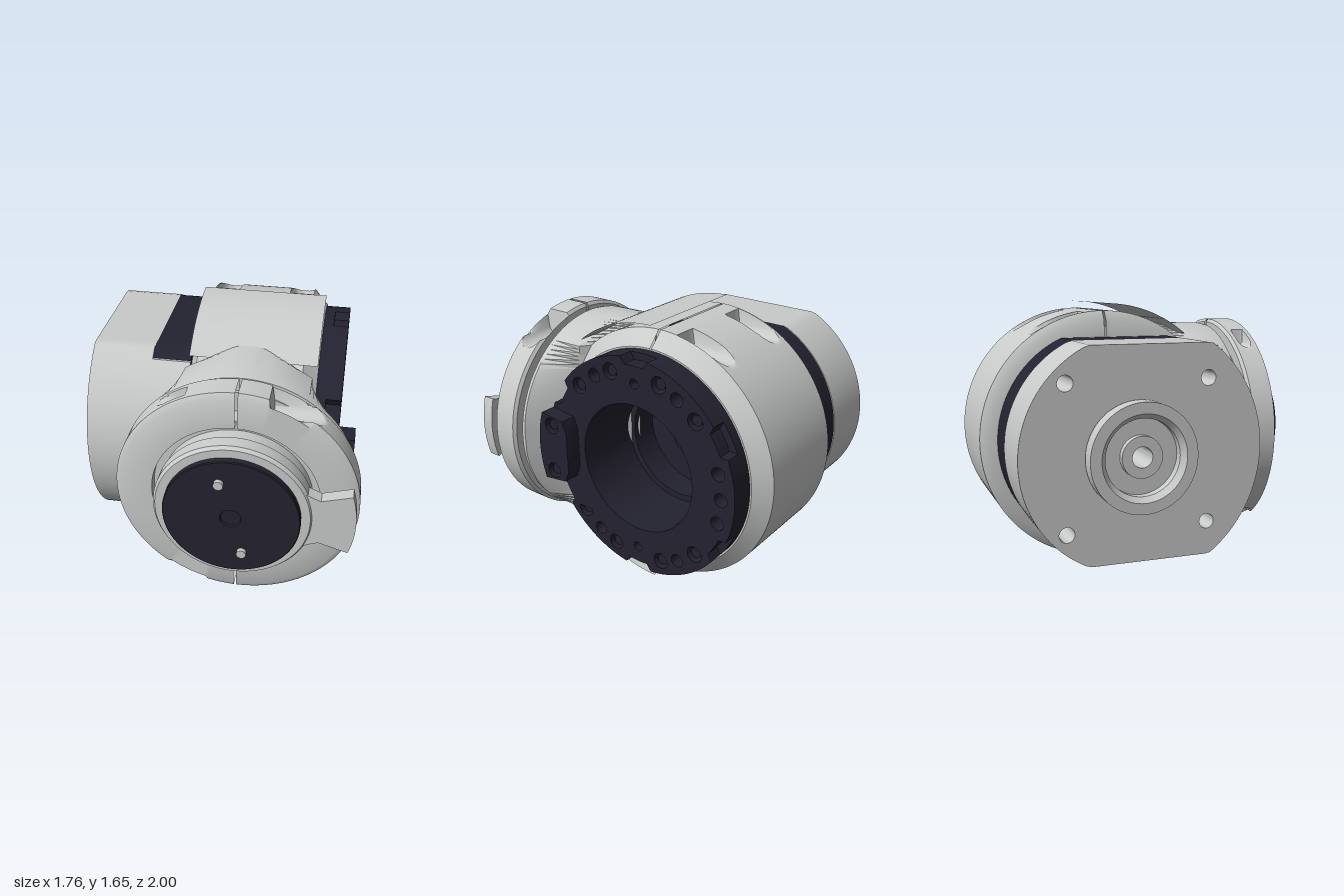
import * as THREE from 'three';
import { toCreasedNormals } from 'three/addons/utils/BufferGeometryUtils.js';

export function createModel() {
  const model = new THREE.Group();
  const light = new THREE.MeshStandardMaterial({ color: 0xc9caca, side: THREE.DoubleSide });
  light.name = 'light grey metal';
  const dark = new THREE.MeshStandardMaterial({ color: 0x232230, side: THREE.DoubleSide });
  dark.name = 'dark navy metal';

  const CY = 0.83, CZ = -0.22, CX = 0.175; // centres of the side axis (along x) and the front axis (along z)
  const V = (a, b) => new THREE.Vector2(a, b);
  const rad = THREE.MathUtils.degToRad;

  function add(name, geo, mat, x, y, z) {
    const mesh = new THREE.Mesh(toCreasedNormals(geo, 0.6), mat);
    mesh.name = name;
    mesh.position.set(x, y, z);
    model.add(mesh);
  }
  // Turned part about the side axis: points are [radius, x]
  function turnX(name, pts, mat, start = 0, length = Math.PI * 2, segs = 80, rule) {
    const g = new THREE.LatheGeometry(pts.map(p => V(...p)), segs, start, length).rotateZ(-Math.PI / 2);
    if (rule) reshape(g, rule);
    add(name, g, mat, 0, CY, CZ);
  }
  // Turned part about the front axis: points are [radius, z]
  function turnZ(name, pts, mat, start = 0, length = Math.PI * 2, segs = 80, rule) {
    const g = new THREE.LatheGeometry(pts.map(p => V(...p)), segs, start, length).rotateX(Math.PI / 2);
    if (rule) reshape(g, rule);
    add(name, g, mat, CX, CY, 0);
  }
  function reshape(g, rule) {
    const p = g.attributes.position;
    for (let i = 0; i < p.count; i++) p.setY(i, rule(p.getX(i), p.getY(i), p.getZ(i)));
  }
  // Plate across the side axis: outline and holes in [dz, dy], from x0 to x1
  function plateX(name, pts, holes, x0, x1, mat) {
    const s = new THREE.Shape(pts.map(([dz, dy]) => V(-dz, dy)));
    for (const [dz, dy, r] of holes) s.holes.push(new THREE.Path().absarc(-dz, dy, r, 0, Math.PI * 2));
    const g = new THREE.ExtrudeGeometry(s, { depth: x1 - x0, bevelEnabled: false, curveSegments: 20 });
    add(name, g.rotateY(Math.PI / 2), mat, x0, CY, CZ);
  }
  function arc(r, a0, a1, n) {
    return Array.from({ length: n + 1 }, (_, i) => {
      const a = rad(a0 + (a1 - a0) * i / n);
      return [r * Math.cos(a), r * Math.sin(a)];
    });
  }
  // Round outline with flats at the top and bottom
  function flatted(front, back, flat) {
    return arc(1, 0, 357, 119).map(([c, s]) => {
      const r = c > 0 ? front : back;
      return [r * c, THREE.MathUtils.clamp(r * s, -flat, flat)];
    });
  }
  const span = (r, a, b, n) => Array.from({ length: n + 1 }, (_, i) => [r, a + (b - a) * i / n]);

  // Main housing in two halves, with screw scoops in the rear one
  const housing = [[0.56, -0.18], [0.72, -0.18], ...span(0.78, -0.14, 0.485, 84), [0.73, 0.53], [0.69, 0.57], [0.56, 0.57]];
  const scoop = (x, y, z) => {
    for (const x0 of [0.41, -0.06]) {
      const d = x - x0;
      if (Math.abs(d) < 0.07 && z > -0.5 && z < -0.13) {
        return Math.sign(y) * Math.min(Math.abs(y), 0.71 - Math.sqrt(0.0049 - d * d));
      }
    }
    return y;
  };
  turnX('rearHousing', housing, light, Math.PI / 2 + 0.008, Math.PI - 0.016, 130, scoop);
  turnX('frontHousing', [housing[0], housing[1], [0.78, -0.14], [0.78, 0.485], ...housing.slice(-3)], light,
    -Math.PI / 2 + 0.008, Math.PI - 0.016, 60);

  // Thin saddle sheets over and under the housing
  for (const start of [-Math.PI / 2, Math.PI / 2 - 0.7]) {
    turnX('saddleSheet', [[0.825, -0.18], [0.825, 0.57]], light, start, 0.7, 24);
  }

  // Hollow core inside the housing
  turnX('core', [[0.06, -0.18], [0.57, -0.18], [0.57, 0.58], [0.4, 0.58], [0.4, 0.3], [0.36, 0.3], [0.36, 0.12],
    [0.06, 0.12], [0.06, -0.18]], dark);
  turnX('innerHub', [[0.06, 0.1], [0.06, 0.24], [0.09, 0.24], [0.09, 0.1]], dark);

  // Dark joint plate and the light motor cover on the -x side
  plateX('jointPlate', flatted(0.75, 0.68, 0.62), [[0, 0, 0.06]], -0.41, -0.18, dark);
  plateX('coverLip', [...arc(0.76, -48.6, 48.6, 30), [0.43, 0.57], [0.43, -0.57]], [], -0.41, -0.18, light);
  const corners = [[1, 1], [1, -1], [-1, 1], [-1, -1]].map(([a, b]) => [a * 0.42, b * 0.42, 0.045]);
  plateX('motorCover', flatted(0.76, 0.685, 0.62), [[0, 0, 0.2], ...corners], -0.78, -0.41, light);
  turnX('sideFlange', [[0.06, -0.4], [0.06, -0.84], [0.12, -0.84], [0.12, -0.8], [0.22, -0.8], [0.22, -0.85],
    [0.25, -0.885], [0.315, -0.885], [0.315, -0.79], [0.29, -0.79], [0.29, -0.77]], light);

  // Dark bolt ring on the +x side
  turnX('ringBase', [[0.4, 0.57], [0.68, 0.57], [0.68, 0.63], [0.4, 0.63], [0.4, 0.57]], dark);
  const outline = [];
  for (let a = 0; a < 360; a += 2) {
    const off = Math.abs((a % 60) - 30);
    outline.push(arc(off <= 6 ? 0.635 : 0.68, a, a, 1)[0]);
  }
  const at = (a, r, size) => [r * Math.cos(rad(a)), r * Math.sin(rad(a)), size];
  const bolts = [45, 73, 107, 135, 225, 253, 287, 315].map(a => at(a, 0.59, 0.05));
  const pins = [60, 120, 165, 180, 195, 240, 300].map(a => at(a, 0.59, 0.042));
  const smallPins = [90, 270].map(a => at(a, 0.53, 0.03));
  plateX('boltRing', outline, [[0, 0, 0.4], ...bolts, ...pins, ...smallPins], 0.63, 0.72, dark);
  for (const [dz, dy] of bolts) {
    const g = new THREE.CylinderGeometry(0.033, 0.033, 0.07, 20).rotateZ(Math.PI / 2);
    add('ringBolt', g, dark, 0.665, CY + dy, CZ + dz);
  }
  plateX('ringTab', [...arc(0.68, -19, 19, 14), [0.48, 0.2], [0.45, 0.13], [0.45, -0.13], [0.48, -0.2]],
    [[0.57, 0.15, 0.05], [0.57, -0.15, 0.05]], 0.715, 0.82, dark);
  for (const s of [1, -1]) {
    add('tabBolt', new THREE.CylinderGeometry(0.033, 0.033, 0.07, 20).rotateZ(Math.PI / 2), dark, 0.765, CY + s * 0.15, CZ + 0.57);
  }

  // Front neck: a round section whose sides close in toward the housing
  const rows = [[0.13, 0.08, 0.69], [0.35, 0.37, 0.685], [0.555, 0.675, 0.68], [0.58, 0.675, 0.675], [0.58, 0.6, 0.6]];
  const N = 120, pos = [], idx = [];
  rows.forEach(([z, w, r], k) => {
    for (let i = 0; i <= N; i++) {
      const a = i / N * Math.PI * 2;
      pos.push(THREE.MathUtils.clamp(r * Math.cos(a), -w, w), r * Math.sin(a), z);
      if (k && i) {
        const p = k * (N + 1) + i, q = p - N - 1;
        idx.push(q - 1, q, p, q - 1, p, p - 1);
      }
    }
  });
  const neck = new THREE.BufferGeometry();
  neck.setAttribute('position', new THREE.Float32BufferAttribute(pos, 3));
  neck.setIndex(idx);
  add('frontNeck', neck, light, CX, CY, 0);
  turnZ('neckCollar', [[0.62, 0.56], [0.62, 0.64], [0.5, 0.64], [0.5, 0.74], [0.44, 0.74], [0.44, 0.82], [0.455, 0.83],
    [0.455, 0.91], [0.44, 0.93], [0, 0.93]], light);

  // Split clamp ring with screw scoops near its top and bottom gaps
  const clamp = [[0.49, 0.62], [0.685, 0.62], ...span(0.705, 0.635, 0.78, 26), [0.67, 0.8], [0.49, 0.8], [0.49, 0.62]];
  const clampScoop = (x, y, z) => {
    const [r, c, from] = x * y > 0 ? [0.08, 0.6, 0.18] : [0.04, 0.58, 0.29];
    const d = z - 0.708;
    if (Math.abs(d) >= r || Math.abs(x) < from) return y;
    const floor = c - Math.sqrt(r * r - d * d);
    return Math.abs(y) > floor ? Math.sign(y) * floor : y;
  };
  for (const start of [0.012, Math.PI + 0.012]) {
    turnZ('clampHalf', clamp, light, start, Math.PI - 0.024, 130, clampScoop);
  }

  // Locking lug on the front collar
  const lug = new THREE.Shape([[0.38, -0.2], [0.44, -0.17], [0.49, -0.15], ...arc(0.69, -17, 17, 12), [0.49, 0.15], [0.44, 0.17], [0.38, 0.2]]
    .map(p => V(...p)));
  add('lockingLug', new THREE.ExtrudeGeometry(lug, { depth: 0.075, bevelEnabled: false }), light, CX, CY, 0.845);

  // Dark front disc with two screws and a centre ring
  turnZ('frontDisc', [[0.39, 0.92], [0.39, 0.965], [0.385, 0.97], [0.06, 0.97], [0.055, 0.96], [0, 0.96]], dark);
  for (const [x, y] of [[0.11, 1.07], [0.24, 0.59]]) {
    add('discScrew', new THREE.CylinderGeometry(0.028, 0.028, 0.03, 16).rotateX(Math.PI / 2), light, x, y, 0.98);
  }
  return model;
}
